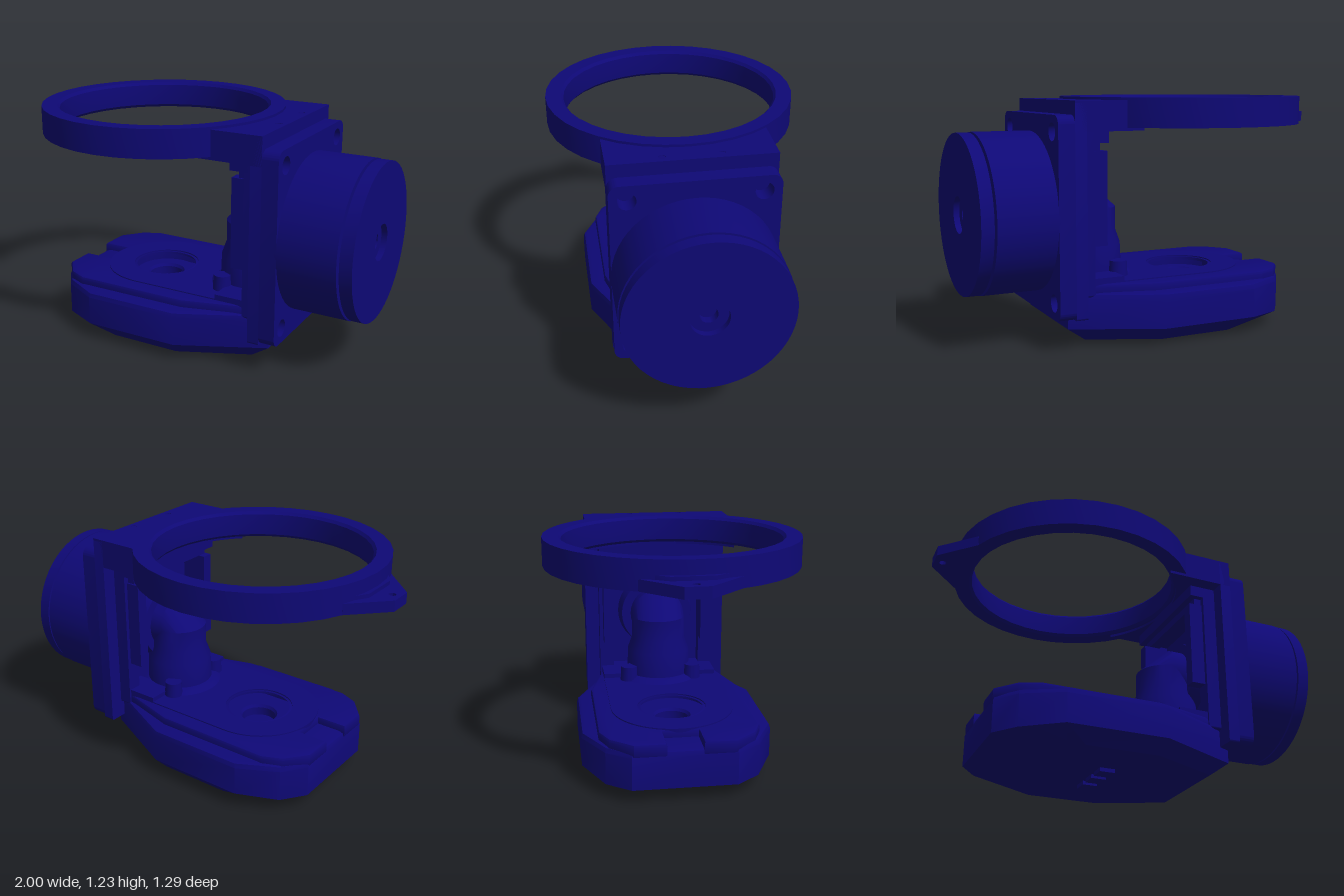
import * as THREE from 'three';
import { toCreasedNormals } from 'three/addons/utils/BufferGeometryUtils.js';

const material = new THREE.MeshStandardMaterial({ color: 0x0e0876 });
const RING_X = -0.23, AXIS_Y = 0.655;

export function createModel() {
  const model = new THREE.Group();

  const add = (name, geometry, x = 0, y = 0, z = 0) => {
    const mesh = new THREE.Mesh(toCreasedNormals(geometry, 0.55), material);
    mesh.name = name;
    mesh.position.set(x, y, z);
    model.add(mesh);
  };
  const box = (name, x0, x1, y0, y1, z0, z1) =>
    add(name, new THREE.BoxGeometry(x1 - x0, y1 - y0, z1 - z0), (x0 + x1) / 2, (y0 + y1) / 2, (z0 + z1) / 2);
  const hole = (shape, x, y, r) => shape.holes.push(new THREE.Path().absarc(x, y, r, 0, Math.PI * 2, true));
  const vectors = (pts) => pts.map(([x, y]) => new THREE.Vector2(x, y));
  const mirrored = (pts) => [...pts, ...pts.map(([x, z]) => [x, -z]).reverse()];
  const lathe = (pts, segments) => new THREE.LatheGeometry(vectors(pts), segments);

  // Plan shape (x, z) raised from y0 to y1
  const slab = (name, shape, y0, y1, bevel = 0) => {
    const g = new THREE.ExtrudeGeometry(shape, {
      depth: y1 - y0 - bevel, bevelEnabled: bevel > 0, bevelSize: bevel, bevelOffset: -bevel,
      bevelThickness: bevel, bevelSegments: 2, curveSegments: 20,
    });
    add(name, g.rotateX(-Math.PI / 2), 0, y0, 0);
  };
  // Upright shape (z, y) extended from x0 to x1
  const panel = (name, shape, x0, x1) => {
    const g = new THREE.ExtrudeGeometry(shape, { depth: x1 - x0, bevelEnabled: false, curveSegments: 10 });
    add(name, g.rotateY(Math.PI / 2), x0, 0, 0);
  };
  // Capped skin through equal-length rings of points
  const loft = (rings) => {
    const pos = [], n = rings[0].length;
    const tri = (...p) => p.forEach((q) => pos.push(...q));
    const centre = (ring) => [0, 1, 2].map((k) => ring.reduce((s, p) => s + p[k], 0) / n);
    const first = rings[0], last = rings[rings.length - 1];
    for (let i = 0; i < n; i++) {
      const j = (i + 1) % n;
      for (let k = 0; k < rings.length - 1; k++) {
        const a = rings[k], b = rings[k + 1];
        tri(a[i], a[j], b[j]);
        tri(a[i], b[j], b[i]);
      }
      tri(first[j], first[i], centre(first));
      tri(last[i], last[j], centre(last));
    }
    const g = new THREE.BufferGeometry();
    g.setAttribute('position', new THREE.Float32BufferAttribute(pos, 3));
    g.computeVertexNormals();
    return g;
  };
  const roundedRect = (w, y0, y1, r) => {
    const s = new THREE.Shape();
    s.absarc(w - r, y0 + r, r, -Math.PI / 2, 0);
    s.absarc(w - r, y1 - r, r, 0, Math.PI / 2);
    s.absarc(-w + r, y1 - r, r, Math.PI / 2, Math.PI);
    s.absarc(-w + r, y0 + r, r, Math.PI, Math.PI * 1.5);
    return s;
  };

  // Base: chamfered underside, straight sides, softened top edge, well in the middle
  const outline = mirrored([[-0.71, 0.26], [-0.62, 0.38], [-0.42, 0.485], [0.1, 0.485], [0.54, 0.28]]);
  const underside = mirrored([[-0.37, 0.22], [-0.36, 0.33], [-0.3, 0.42], [0.08, 0.42], [0.44, 0.26]]);
  const level = (pts, y, s = 1) => pts.map(([x, z]) => [-0.1 + (x + 0.1) * s, y, z * s]);
  const chamfer = outline.map(([x, z]) => [x, x < -0.6 ? 0.075 : 0.09, z]);
  add('base', loft([
    level(underside, 0.02), chamfer, level(outline, 0.24), level(outline, 0.262, 0.985), level(outline, 0.27, 0.95),
    level(outline, 0.27, 0.62), level(outline, 0.2, 0.62),
  ]));

  // Raised deck with a cable channel and a round seat
  const half = [[-0.55, 0.09], [-0.71, 0.09], [-0.71, 0.25], [-0.62, 0.36], [-0.52, 0.405], [0.1, 0.405], [0.45, 0.31]];
  const deck = new THREE.Shape(vectors(mirrored(half)));
  hole(deck, RING_X, 0, 0.18);
  slab('deck', deck, 0.25, 0.31, 0.015);
  const pad = new THREE.Shape();
  pad.moveTo(0.3, -0.32);
  pad.lineTo(0.3, 0.32);
  pad.absarc(RING_X, 0, 0.32, Math.PI / 2, Math.PI * 1.5);
  hole(pad, RING_X, 0, 0.18);
  slab('deckPad', pad, 0.29, 0.316);
  add('seatRing', lathe([[0.18, 0.2], [0.17, 0.265], [0.1, 0.265], [0.09, 0.25], [0.09, 0.205], [0, 0.205]], 32), RING_X);

  // Small pads below the base
  for (const z of [-0.115, 0, 0.115]) box('footPad', -0.12, -0.04, 0, 0.03, z - 0.04, z + 0.04);

  // Wall behind the motor, with a narrower pocketed frame on its inner face
  panel('wall', roundedRect(0.405, 0.16, 1.215, 0.01), 0.48, 0.54);
  const frame = roundedRect(0.33, 0.25, 1.08, 0.01);
  frame.holes.push(new THREE.Path(vectors([[-0.25, 0.32], [-0.25, 0.98], [0.25, 0.98], [0.25, 0.32]])));
  panel('wallFrame', frame, 0.41, 0.49);
  box('wallHead', 0.37, 0.43, 0.97, 1.03, -0.3, 0.3);
  box('wallBrow', 0.335, 0.43, 1.01, 1.1, -0.33, 0.33);
  for (const s of [-1, 1]) box('wallRib', 0.335, 0.42, 0.5, 0.97, s * 0.28 - 0.03, s * 0.28 + 0.03);

  // Motor mounting plate with four screw recesses
  const plate = roundedRect(0.405, 0.16, 1.15, 0.05);
  for (const z of [-0.32, 0.32]) for (const y of [0.24, 1.07]) hole(plate, z, y, 0.045);
  panel('motorPlate', plate, 0.54, 0.625);

  // Motor with a groove before its end cap and a stepped shaft recess
  const motor = lathe([
    [0.404, 0.6], [0.407, 0.63], [0.407, 0.925], [0.335, 0.925], [0.335, 0.937], [0.404, 0.937],
    [0.404, 1], [0.093, 1], [0.093, 0.97], [0.043, 0.97], [0.043, 0.93], [0, 0.93],
  ], 56);
  add('motor', motor.rotateZ(-Math.PI / 2), 0, AXIS_Y, 0);

  // Elbow rising from the deck and turning into the wall
  const N = 32;
  const ring = (r, f) => Array.from({ length: N }, (_, i) => {
    const t = (i / N) * Math.PI * 2;
    return f(r * Math.cos(t), -r * Math.sin(t));
  });
  const flat = (r, y) => ring(r, (u, z) => [0.32 + u, y, z]);
  const upright = (r, x) => ring(r, (u, z) => [x, AXIS_Y - u, z]);
  add('elbow', loft([
    flat(0.25, 0.3), flat(0.21, 0.33), flat(0.18, 0.34), flat(0.175, 0.47), flat(0.15, 0.54), flat(0.15, 0.66),
    upright(0.15, 0.33), upright(0.15, 0.5),
  ]));
  add('elbowFlange', new THREE.CylinderGeometry(0.22, 0.2, 0.1, 40).rotateZ(-Math.PI / 2), 0.45, AXIS_Y, 0);
  for (const s of [-1, 1]) {
    add('elbowLug', new THREE.CylinderGeometry(0.045, 0.05, 0.1, 18), 0.22, 0.345, s * 0.18);
    box('elbowFoot', 0.25, 0.48, 0.29, 0.34, s * 0.24 - 0.08, s * 0.24 + 0.08);
  }

  // Top bracket, cut out to follow the ring
  const R = 0.575, a = Math.asin(0.405 / R);
  const bracket = new THREE.Shape();
  bracket.moveTo(0.54, -0.405);
  bracket.lineTo(0.54, 0.405);
  bracket.absarc(RING_X, 0, R, a, -a, true);
  hole(bracket, 0.5, 0.14, 0.018);
  hole(bracket, 0.5, -0.14, 0.018);
  slab('topBracket', bracket, 1.07, 1.217);

  // Large ring, wider towards the bottom on its inner side
  add('topRing', lathe([
    [0.565, 1.085], [0.645, 1.085], [0.645, 1.23], [0.565, 1.23], [0.552, 1.215],
    [0.548, 1.16], [0.552, 1.1], [0.565, 1.085],
  ], 36), RING_X);

  // Pointed tab with a pin hole
  const b = 0.4;
  const tab = new THREE.Shape();
  tab.moveTo(-1, 0.06);
  tab.lineTo(-1, -0.06);
  tab.lineTo(-0.83, -0.235);
  tab.absarc(RING_X, 0, 0.6, Math.PI + b, Math.PI - b, true);
  tab.lineTo(-0.83, 0.235);
  hole(tab, -0.955, 0, 0.018);
  slab('tab', tab, 1.085, 1.14);
  const step = vectors([[-0.89, 0.1], [-0.89, -0.1], [-0.83, -0.2], [-0.8, 0], [-0.83, 0.2]]);
  slab('tabStep', new THREE.Shape(step), 1.13, 1.16);

  return model;
}
